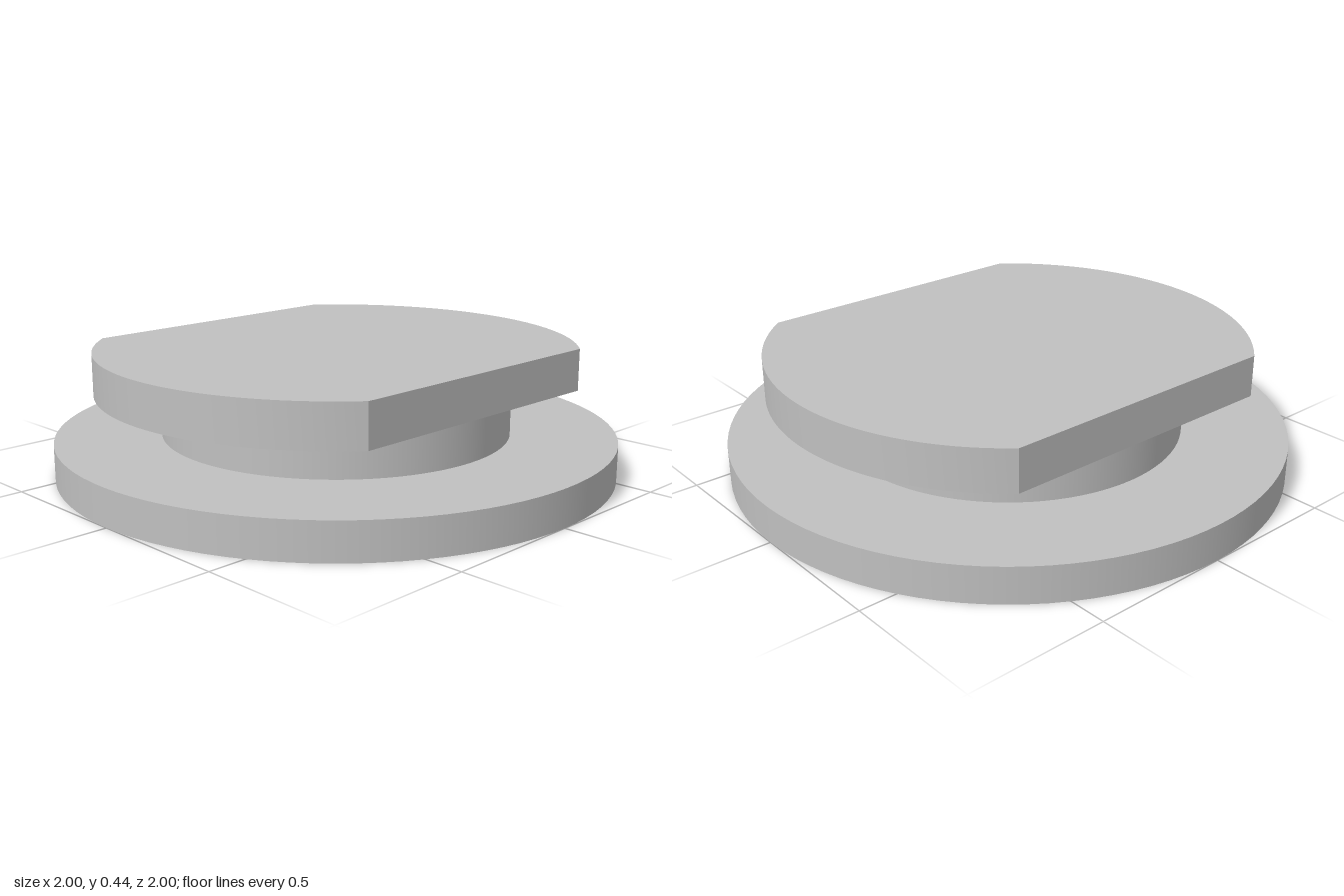
import * as THREE from 'three';
import { toCreasedNormals } from 'three/addons/utils/BufferGeometryUtils.js';

export function createModel() {
  const group = new THREE.Group();
  const grey = new THREE.MeshStandardMaterial({ color: 0xc0c0c0 });
  grey.name = 'plain grey';

  const add = (name, geometry, y) => {
    const mesh = new THREE.Mesh(geometry, grey);
    mesh.name = name;
    mesh.position.y = y;
    group.add(mesh);
  };
  const disc = (name, radius, y0, y1) =>
    add(name, new THREE.CylinderGeometry(radius, radius, y1 - y0, 96), (y0 + y1) / 2);

  // Round base flange and narrower neck
  disc('baseFlange', 1, 0, 0.13);
  disc('neck', 0.625, 0.13, 0.29);

  // Round head with parallel flats at the front and back
  const radius = 0.857, flat = 0.67;
  const a = Math.asin(flat / radius);
  const outline = new THREE.Shape();
  outline.absarc(0, 0, radius, -a, a, false);
  outline.absarc(0, 0, radius, Math.PI - a, Math.PI + a, false);
  outline.closePath();
  const head = new THREE.ExtrudeGeometry(outline, { depth: 0.15, bevelEnabled: false, curveSegments: 24 });
  head.rotateX(-Math.PI / 2);
  add('flattedHead', toCreasedNormals(head, 0.4), 0.29);

  return group;
}
